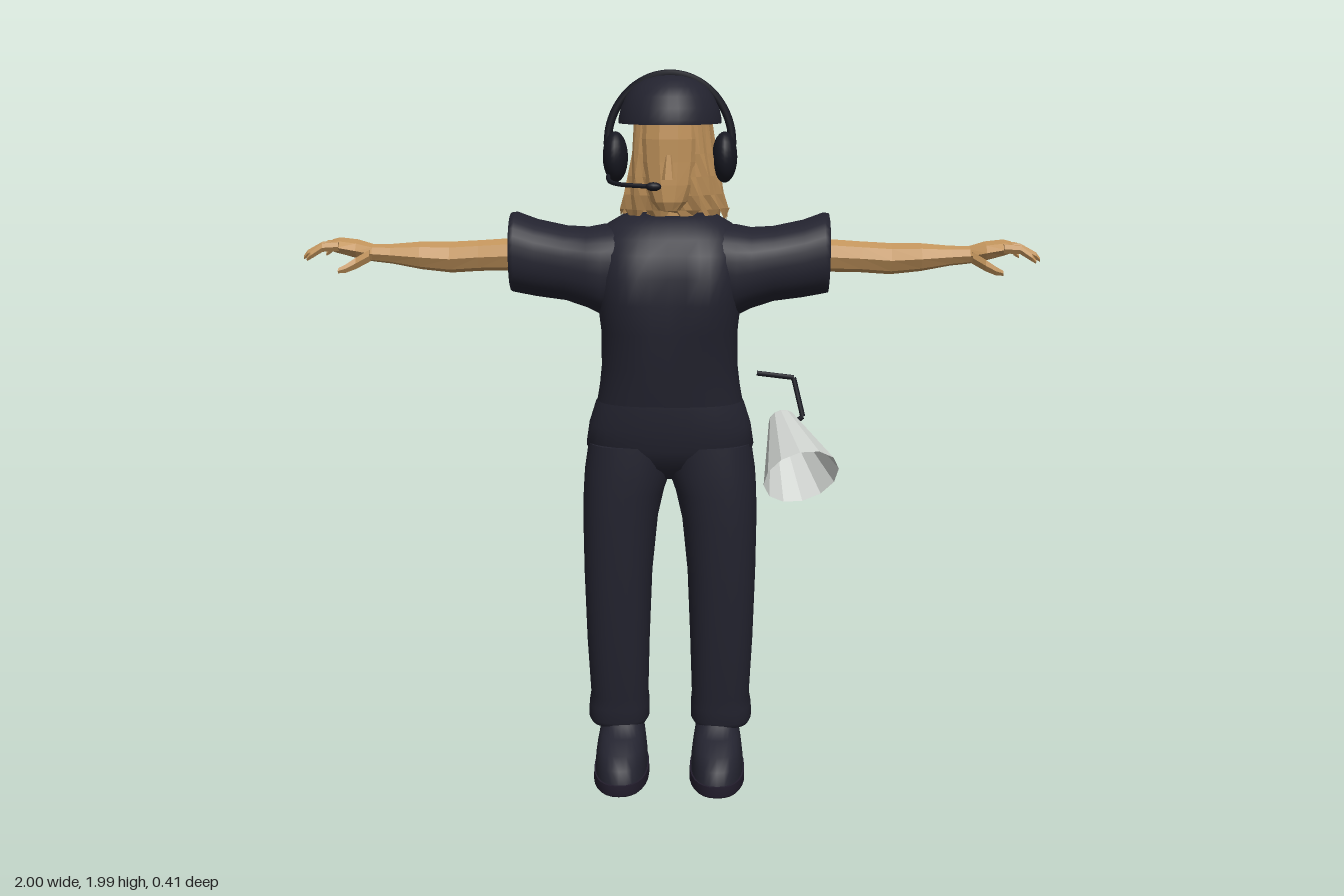
import * as THREE from 'three';

const mat = (name, color, side = THREE.FrontSide) => new THREE.MeshStandardMaterial({ name, color, side });
const cloth = mat('darkCloth', 0x23232f);
const black = mat('blackPlastic', 0x171821);
const skin = mat('tanSkin', 0xc2945c, THREE.DoubleSide);
const grey = mat('paleGrey', 0xccd0cc, THREE.DoubleSide);
const soleMat = mat('sole', 0x221d2c);

// Skin rings of points; rings must ascend along their axis
function loft(rings, { caps = true, skip = null, open = false } = {}) {
  const n = rings[0].length, pts = rings.flat(), idx = [];
  for (let r = 0; r < rings.length - 1; r++) {
    for (let i = 0; i < (open ? n - 1 : n); i++) {
      const a = r * n + i, b = r * n + (i + 1) % n, c = a + n, d = b + n;
      const mid = pts[a].clone().add(pts[b]).add(pts[c]).add(pts[d]).multiplyScalar(0.25);
      if (!(skip && skip(mid))) idx.push(a, c, b, b, c, d);
    }
  }
  if (caps) [rings[0], rings[rings.length - 1]].forEach((ring, end) => {
    const s = pts.length, mid = new THREE.Vector3();
    ring.forEach(p => mid.addScaledVector(p, 1 / n));
    pts.push(...ring, mid);
    for (let i = 0; i < n; i++) {
      const a = s + i, b = s + (i + 1) % n;
      end ? idx.push(a, s + n, b) : idx.push(a, b, s + n);
    }
  });
  const g = new THREE.BufferGeometry().setFromPoints(pts);
  g.setIndex(idx);
  g.computeVertexNormals();
  return g;
}

const pw = (v, p) => Math.sign(v) * Math.abs(v) ** p;
// Horizontal ring between z front and z back; p < 1 makes it boxier
function ringY(y, cx, rx, zf, zb, n = 32, p = 0.8) {
  return Array.from({ length: n }, (_, i) => {
    const a = i / n * Math.PI * 2;
    return new THREE.Vector3(cx + rx * pw(Math.cos(a), p), y, (zf + zb) / 2 + (zf - zb) / 2 * pw(Math.sin(a), p));
  });
}
// Upright ring across x
function ringX(x, top, bottom, zf, zb, n = 8, p = 1) {
  return Array.from({ length: n }, (_, i) => {
    const a = i / n * Math.PI * 2;
    return new THREE.Vector3(x, (top + bottom) / 2 + (top - bottom) / 2 * pw(Math.sin(a), p),
      (zf + zb) / 2 + (zf - zb) / 2 * pw(Math.cos(a), p));
  });
}

function flat(g) {
  const f = g.toNonIndexed();
  f.computeVertexNormals();
  return f;
}
function mirror(g) {
  const m = g.clone().scale(-1, 1, 1), ix = m.index.array;
  for (let i = 0; i < ix.length; i += 3) [ix[i], ix[i + 1]] = [ix[i + 1], ix[i]];
  m.computeVertexNormals();
  return m;
}
const tube = (pts, r, seg = 16, sides = 8) => new THREE.TubeGeometry(
  new THREE.CatmullRomCurve3(pts.map(p => new THREE.Vector3(...p))), seg, r, sides);
const rod = (a, b, r) => new THREE.TubeGeometry(
  new THREE.LineCurve3(new THREE.Vector3(...a), new THREE.Vector3(...b)), 1, r, 8);

export function createModel() {
  const root = new THREE.Group();
  root.name = 'figure';
  const add = (name, g, m, facet = false) => {
    const mesh = new THREE.Mesh(facet ? flat(g) : g, m);
    mesh.name = name;
    root.add(mesh);
    return mesh;
  };
  const pair = (name, g, m, facet = false) => {
    add('left' + name, g, m, facet);
    add('right' + name, mirror(g), m, facet);
  };

  // Shirt body with openings behind the sleeves
  const body = [[1.10, 0.2, 0.14, -0.145], [1.14, 0.193, 0.147, -0.138], [1.2, 0.186, 0.157, -0.125],
    [1.3, 0.186, 0.18, -0.135], [1.38, 0.195, 0.2, -0.15], [1.45, 0.2, 0.192, -0.146], [1.51, 0.2, 0.168, -0.135],
    [1.55, 0.19, 0.14, -0.122], [1.58, 0.17, 0.11, -0.11], [1.603, 0.13, 0.08, -0.095], [1.605, 0.06, 0.035, -0.06]]
    .map(([y, rx, zf, zb]) => ringY(y, 0, rx, zf, zb, 40, 0.75));
  body.flat().forEach(v => {
    if (v.z > 0.05) v.z -= 0.03 * Math.exp(-((v.x / 0.07) ** 2) - ((v.y - 1.4) / 0.1) ** 2);
  });
  add('shirtBody', loft(body, {
    caps: false,
    skip: m => m.y > 1.37 && m.y < 1.56 && Math.abs(m.x) > 0.12 && Math.abs(m.z - 0.01) < 0.09,
  }), cloth);
  pair('Sleeve', loft([[0.1, 1.585, 1.33, 0.14, -0.11], [0.18, 1.58, 1.335, 0.145, -0.115], [0.22, 1.572, 1.355, 0.14, -0.112],
    [0.28, 1.575, 1.375, 0.13, -0.105], [0.36, 1.592, 1.385, 0.122, -0.102], [0.415, 1.612, 1.395, 0.12, -0.102],
    [0.428, 1.61, 1.398, 0.117, -0.1], [0.43, 1.6, 1.415, 0.1, -0.086]]
    .map(([x, t, b, f, k]) => ringX(x, t, b, f, k, 28, 0.85)), { caps: false }), cloth);

  // Trousers
  add('trouserHips', loft([[0.88, 0.1, 0.05, -0.07], [0.92, 0.2, 0.1, -0.12], [0.97, 0.233, 0.12, -0.143],
    [1.03, 0.224, 0.13, -0.145], [1.09, 0.205, 0.135, -0.14], [1.13, 0.182, 0.135, -0.128], [1.16, 0.172, 0.13, -0.12]]
    .map(([y, rx, f, b]) => ringY(y, 0, rx, f, b))), cloth);
  pair('TrouserLeg', loft([[0.14, 0.068, 0.228, 0.045, -0.122], [0.155, 0.06, 0.235, 0.055, -0.128],
    [0.195, 0.06, 0.234, 0.057, -0.126], [0.23, 0.063, 0.228, 0.062, -0.114], [0.4, 0.058, 0.236, 0.085, -0.106],
    [0.6, 0.05, 0.242, 0.102, -0.124], [0.76, 0.034, 0.244, 0.114, -0.142], [0.84, 0.016, 0.242, 0.116, -0.145],
    [0.9, -0.005, 0.238, 0.12, -0.145], [0.98, -0.02, 0.226, 0.118, -0.138]]
    .map(([y, a, b, f, k]) => ringY(y, (a + b) / 2, (b - a) / 2, f, k))), cloth);

  // Shoes
  pair('Sole', loft([[0, 0.074, 0.208, -0.11], [0.006, 0.079, 0.213, -0.113], [0.034, 0.078, 0.212, -0.113]]
    .map(([y, r, f, b]) => ringY(y, 0.137, r, f, b, 28, 0.85))), soleMat);
  pair('Shoe', loft([[0.03, 0.074, 0.207, -0.108], [0.07, 0.073, 0.195, -0.106], [0.1, 0.069, 0.16, -0.102],
    [0.125, 0.064, 0.1, -0.098], [0.145, 0.06, 0.055, -0.095], [0.18, 0.055, 0.035, -0.085]]
    .map(([y, r, f, b]) => ringY(y, 0.137, r, f, b, 28, 0.85))), cloth);

  // Arms, palms, fingers and thumbs
  pair('Arm', loft([[0.25, 1.55, 1.44, 0.05, -0.055], [0.44, 1.538, 1.45, 0.036, -0.055], [0.52, 1.532, 1.448, 0.03, -0.062],
    [0.6, 1.527, 1.442, 0.028, -0.074], [0.68, 1.528, 1.452, 0.036, -0.062], [0.76, 1.522, 1.468, 0.03, -0.045],
    [0.81, 1.522, 1.474, 0.03, -0.04], [0.85, 1.535, 1.482, 0.05, -0.05], [0.9, 1.54, 1.495, 0.052, -0.06],
    [0.92, 1.535, 1.503, 0.048, -0.058]].map(r => ringX(...r, 8))), skin, true);
  [[0.955, -0.048, -0.068], [0.985, -0.018, -0.03], [0.998, 0.012, 0.012], [0.98, 0.04, 0.055]].forEach(([tip, z0, z1], i) => {
    const ring = (x, y, z, r) => ringX(x, y + r, y - r, z + r, z - r, 6);
    pair('Finger' + (i + 1), loft([ring(0.895, 1.52, z0, 0.014), ring((0.895 + tip) / 2, 1.518, (z0 + z1) / 2, 0.013),
      ring(tip - 0.012, 1.498, z1, 0.011), ring(tip, 1.487, z1, 0.006)]), skin, true);
  });
  pair('Thumb', loft([ringX(0.815, 1.512, 1.475, 0.04, 0.005, 6), ringX(0.845, 1.495, 1.46, 0.074, 0.042, 6),
    ringX(0.87, 1.478, 1.452, 0.09, 0.066, 6), ringX(0.888, 1.468, 1.453, 0.1, 0.085, 6)]), skin, true);

  // Neck, face and nose
  add('neck', loft([ringY(1.58, 0, 0.065, 0.045, -0.07, 12, 1), ringY(1.68, 0, 0.058, 0.045, -0.06, 12, 1)]), skin, true);
  add('head', loft([[1.622, 0.03, 0.088, 0.02], [1.645, 0.052, 0.099, -0.04], [1.69, 0.074, 0.102, -0.08],
    [1.75, 0.086, 0.103, -0.1], [1.81, 0.09, 0.106, -0.11], [1.88, 0.085, 0.1, -0.1]]
    .map(([y, r, f, b]) => ringY(y, 0, r, f, b, 14, 0.85))), skin, true);
  add('nose', loft([ringY(1.705, 0, 0.02, 0.116, 0.08, 6, 1), ringY(1.77, 0, 0.01, 0.108, 0.08, 6, 1)]), skin, true);

  // Wavy hair, open around the face, with an uneven hem
  const hair = [[1.585, 0.158, -0.198, 0.045], [1.62, 0.155, -0.19, 0.06], [1.66, 0.142, -0.165, 0.075],
    [1.71, 0.134, -0.163, 0.085], [1.77, 0.122, -0.148, 0.092], [1.86, 0.112, -0.138, 0.096]];
  add('hair', loft(hair.map(([y, rx, zb, zf], row) => Array.from({ length: 37 }, (_, i) => {
    const a = Math.PI * (0.68 + 1.64 * i / 36);
    const wave = 1 + (row < 5 ? 0.035 : 0.01) * Math.sin(i * 2.3 + row * 1.1);
    const hem = row === 0 ? 0.022 * Math.sin(i * 1.9) + 0.016 : 0;
    return new THREE.Vector3(rx * wave * Math.sin(a - Math.PI), y + hem,
      (zf + zb) / 2 - (zf - zb) / 2 * wave * Math.cos(a - Math.PI) * -1);
  })), { caps: false, open: true }), skin, true);

  // Domed cap
  const dome = [[1.848, 1], [1.86, 1], [1.89, 0.95], [1.92, 0.85], [1.945, 0.7], [1.962, 0.5], [1.972, 0.25], [1.974, 0.03]];
  add('cap', loft(dome.map(([y, s]) => ringY(y, 0, 0.138 * s, -0.014 + 0.15 * s, -0.014 - 0.15 * s, 32, 1))), cloth);

  // Headset
  const arc = [];
  for (let i = 0; i <= 12; i++) {
    const a = Math.PI * i / 12;
    arc.push([0.168 * Math.cos(a), 1.79 + 0.187 * Math.sin(a), -0.01]);
  }
  add('headband', tube(arc, 0.011, 40), black);
  pair('EarCup', new THREE.SphereGeometry(1, 20, 14).scale(0.034, 0.068, 0.054).translate(0.147, 1.758, -0.008), black);
  add('microphoneBoom', tube([[-0.165, 1.715, 0], [-0.16, 1.7, 0.06], [-0.13, 1.695, 0.125], [-0.04, 1.692, 0.165]], 0.006, 20), black);
  add('microphoneTip', new THREE.SphereGeometry(0.013, 12, 8).scale(1.6, 0.9, 1).translate(-0.038, 1.692, 0.166), black);

  // Megaphone hanging at the left hip
  const horn = new THREE.Group();
  horn.name = 'megaphone';
  horn.position.set(0.335, 0.975, 0.065);
  horn.quaternion.setFromUnitVectors(new THREE.Vector3(0, 1, 0), new THREE.Vector3(0.05, -0.125, 0.17).normalize());
  [['hornBell', new THREE.CylinderGeometry(0.105, 0.036, 0.215, 12, 1, true), grey, 0],
    ['hornBack', new THREE.CylinderGeometry(0.036, 0.03, 0.012, 12), grey, -0.108],
    ['hornCore', new THREE.CylinderGeometry(0.014, 0.014, 0.1, 8), black, -0.05]].forEach(([name, g, m, y]) => {
    const mesh = new THREE.Mesh(flat(g), m);
    mesh.name = name;
    mesh.position.y = y;
    horn.add(mesh);
  });
  root.add(horn);
  add('megaphoneGrip', new THREE.CapsuleGeometry(0.02, 0.13, 4, 10).translate(0.305, 0.935, -0.012), black);
  const strap = [[0.24, 1.167, -0.015], [0.342, 1.155, -0.015], [0.368, 1.05, 0.008], [0.33, 1.02, 0.012]];
  for (let i = 0; i < 3; i++) add('strap' + (i + 1), rod(strap[i], strap[i + 1], 0.007), black);

  return root;
}
